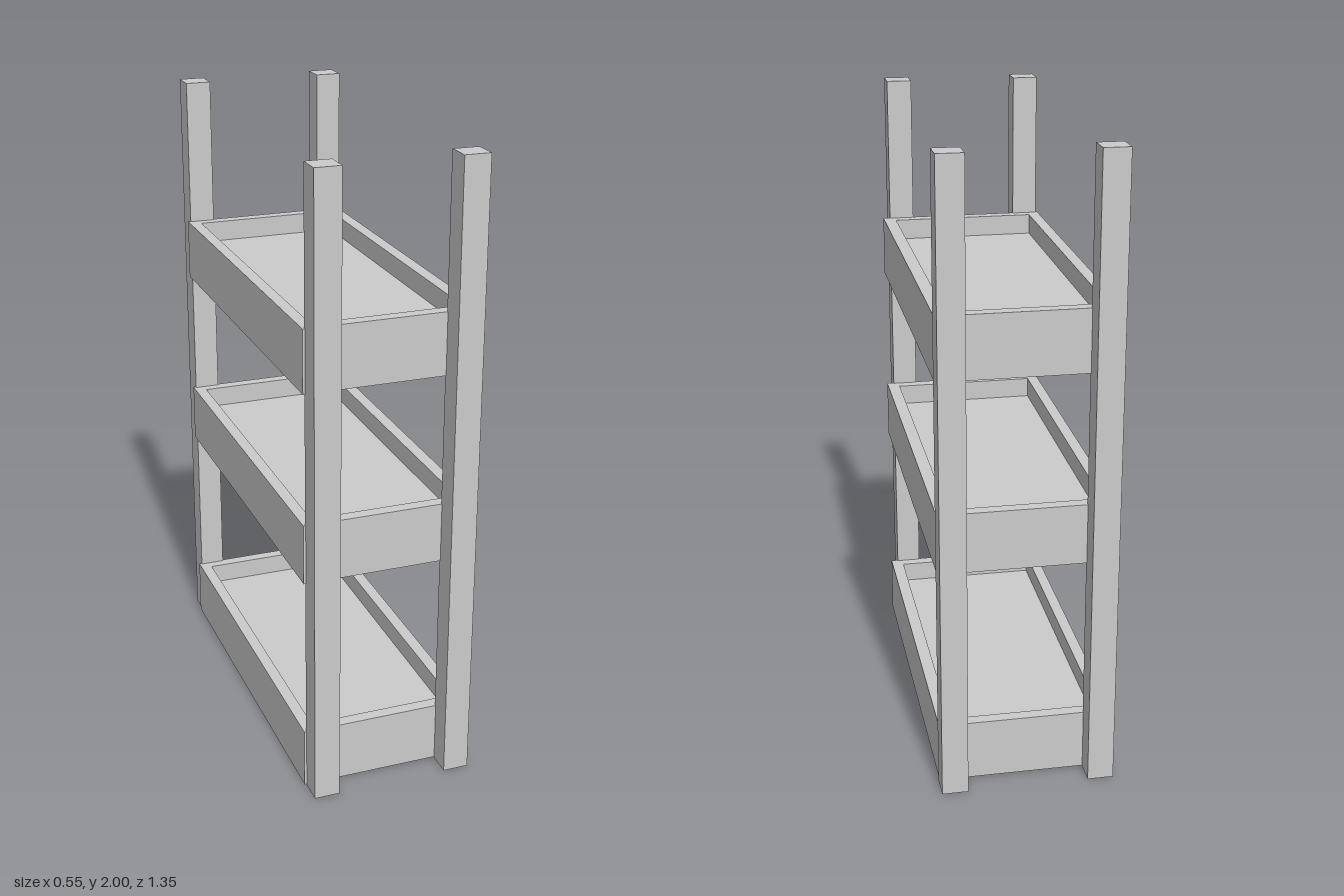
import * as THREE from 'three';

const material = new THREE.MeshStandardMaterial({ color: 0xcccccc, flatShading: true });

// Box given by its minimum and maximum corners
function box(name, [x0, y0, z0], [x1, y1, z1]) {
  const mesh = new THREE.Mesh(new THREE.BoxGeometry(x1 - x0, y1 - y0, z1 - z0), material);
  mesh.name = name;
  mesh.position.set((x0 + x1) / 2, (y0 + y1) / 2, (z0 + z1) / 2);
  return mesh;
}

// Rectangle outline in the ground plane (shape y becomes -z)
function rectangle(PathType, x0, x1, z0, z1) {
  const path = new PathType();
  path.moveTo(x0, -z1);
  path.lineTo(x1, -z1);
  path.lineTo(x1, -z0);
  path.lineTo(x0, -z0);
  path.closePath();
  return path;
}

// Tray: a raised rim around a recessed floor
function createTray(name, bottom, top) {
  const tray = new THREE.Group();
  tray.name = name;
  const outline = rectangle(THREE.Shape, -0.278, 0.272, -0.6, 0.597);
  outline.holes.push(rectangle(THREE.Path, -0.241, 0.232, -0.561, 0.557));
  const rimGeometry = new THREE.ExtrudeGeometry(outline, { depth: top - bottom, bevelEnabled: false });
  rimGeometry.rotateX(-Math.PI / 2);
  const rim = new THREE.Mesh(rimGeometry, material);
  rim.name = 'trayRim';
  rim.position.y = bottom;
  tray.add(rim, box('trayFloor', [-0.241, bottom, -0.561], [0.232, top - 0.067, 0.557]));
  return tray;
}

export function createModel() {
  const shelf = new THREE.Group();
  shelf.name = 'shelfRack';

  // Three stacked trays
  shelf.add(
    createTray('bottomTray', 0.003, 0.197),
    createTray('middleTray', 0.718, 0.911),
    createTray('topTray', 1.327, 1.525)
  );

  // Four corner posts: name, left edge x, back edge z
  const size = 0.082;
  const posts = [
    ['frontRightPost', -0.271, 0.592],
    ['frontLeftPost', 0.167, 0.592],
    ['backRightPost', -0.27, -0.675],
    ['backLeftPost', 0.193, -0.675],
  ];
  for (const [name, x, z] of posts) {
    shelf.add(box(name, [x, 0, z], [x + size, 2, z + size]));
  }
  return shelf;
}
